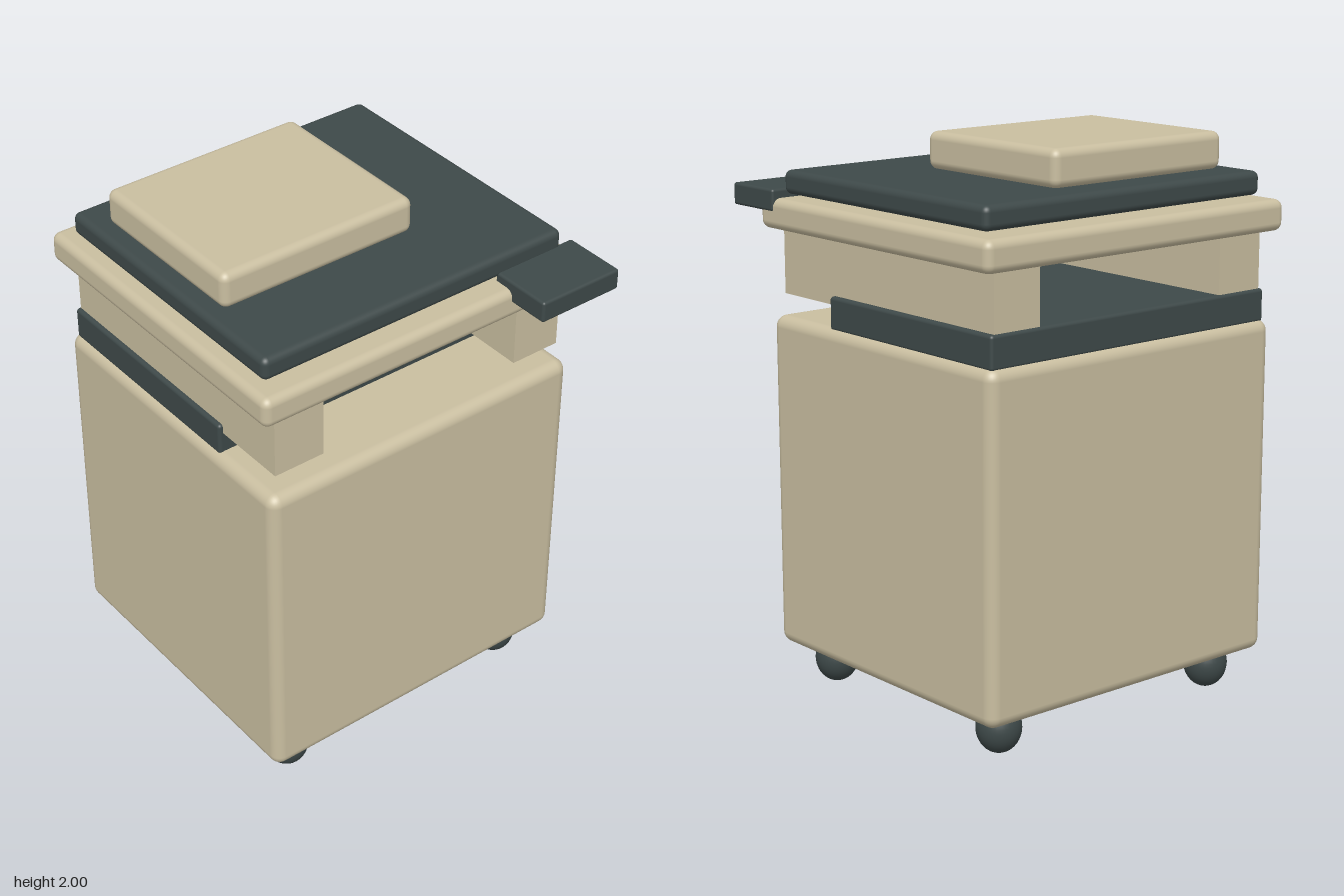
import * as THREE from 'three';
import { RoundedBoxGeometry } from 'three/addons/geometries/RoundedBoxGeometry.js';

export function createModel() {
  const model = new THREE.Group();
  const beige = new THREE.MeshStandardMaterial({ color: 0xc9bea0 });
  beige.name = 'beige casing';
  const dark = new THREE.MeshStandardMaterial({ color: 0x3e4949 });
  dark.name = 'dark slate';

  // Box from its extents, with optional rounded edges
  function box(name, material, [x0, x1], [y0, y1], [z0, z1], radius = 0) {
    const size = [x1 - x0, y1 - y0, z1 - z0];
    const geometry = radius
      ? new RoundedBoxGeometry(...size, 4, radius)
      : new THREE.BoxGeometry(...size);
    const mesh = new THREE.Mesh(geometry, material);
    mesh.name = name;
    mesh.position.set((x0 + x1) / 2, (y0 + y1) / 2, (z0 + z1) / 2);
    model.add(mesh);
  }

  // Cabinet and the dark tray on top of its rear part
  box('cabinet', beige, [-0.641, 0.635], [0.145, 1.355], [-0.669, 0.525], 0.042);
  box('rearTray', dark, [-0.621, 0.614], [1.345, 1.463], [-0.648, 0.21], 0.012);

  // Side supports carrying the upper deck
  box('rightSupport', beige, [-0.605, -0.411], [1.43, 1.68], [-0.638, 0.495]);
  box('leftSupport', beige, [0.402, 0.595], [1.43, 1.68], [-0.638, 0.495]);

  // Upper deck, lid and raised top block
  box('deck', beige, [-0.672, 0.666], [1.665, 1.775], [-0.692, 0.541], 0.03);
  box('lid', dark, [-0.621, 0.614], [1.786, 1.87], [-0.621, 0.468], 0.024);
  box('topBlock', beige, [-0.56, 0.214], [1.868, 2.0], [-0.495, 0.173], 0.03);

  // Control panel jutting from the front corner
  box('controlPanel', dark, [0.336, 0.67], [1.729, 1.807], [0.455, 0.692], 0.01);

  // Four slightly elongated ball casters
  const ball = new THREE.SphereGeometry(1, 32, 20);
  for (const x of [-0.494, 0.483]) {
    for (const z of [0.381, -0.528]) {
      const caster = new THREE.Mesh(ball, dark);
      caster.name = `${z > 0 ? 'front' : 'rear'}${x > 0 ? 'Left' : 'Right'}Caster`;
      caster.scale.set(0.079, 0.09, 0.079);
      caster.position.set(x, 0.09, z);
      model.add(caster);
    }
  }
  return model;
}
